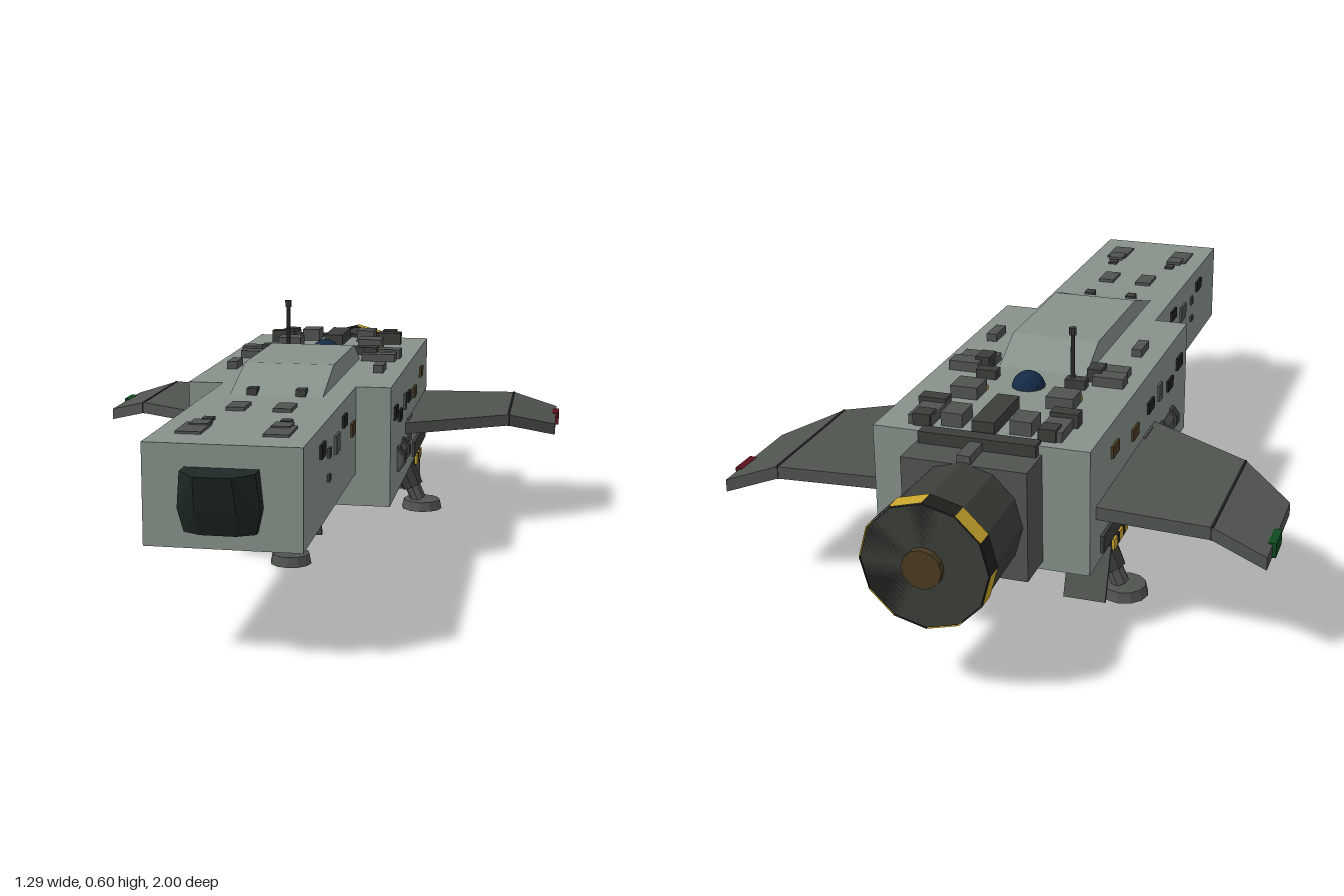
import * as THREE from 'three';
import { ConvexGeometry } from 'three/addons/geometries/ConvexGeometry.js';

const paint = (color) => new THREE.MeshStandardMaterial({ color, flatShading: true });
const HULL = paint(0x87928a), DARK = paint(0x50544f), METAL = paint(0x3c3e39), BLACK = paint(0x1f201c),
  YELLOW = paint(0xc8a52c), GLASS = paint(0x1e2826), BROWN = paint(0x4a3a22), RED = paint(0x5a1018),
  GREEN = paint(0x104a20), BLUE = paint(0x152a48);
const V = (x, y, z) => new THREE.Vector3(x, y, z);

export function createModel() {
  const root = new THREE.Group();
  root.name = 'spacecraft';

  const add = (name, geometry, material, x = 0, y = 0, z = 0, parent = root) => {
    const mesh = new THREE.Mesh(geometry, material);
    mesh.name = name;
    mesh.position.set(x, y, z);
    parent.add(mesh);
    return mesh;
  };
  const box = (name, mat, x, y, z, w, h, d, parent) =>
    add(name, new THREE.BoxGeometry(w, h, d), mat, x, y, z, parent);
  // cylinder lying along z, r1 at the front end
  const tubeZ = (name, mat, x, y, z, r1, r2, len, sides, parent) =>
    add(name, new THREE.CylinderGeometry(r1, r2, len, sides).rotateX(Math.PI / 2), mat, x, y, z, parent);
  // cylinder between two points
  const strut = (name, mat, a, b, ra, rb, sides, parent) => {
    const dir = b.clone().sub(a);
    const mid = a.clone().add(b).multiplyScalar(0.5);
    const mesh = add(name, new THREE.CylinderGeometry(rb, ra, dir.length(), sides), mat, mid.x, mid.y, mid.z, parent);
    mesh.quaternion.setFromUnitVectors(V(0, 1, 0), dir.normalize());
    return mesh;
  };

  // Hulls
  box('noseHull', HULL, 0, 0.348, 0.555, 0.33, 0.215, 0.72);
  box('mainHull', HULL, 0, 0.308, -0.23, 0.5, 0.295, 0.87);

  // Sloped dorsal fairing
  const side = new THREE.Shape([[0.38, 0.45], [0.2, 0.507], [-0.135, 0.507], [-0.25, 0.45]]
    .map(([z, y]) => new THREE.Vector2(-z, y)));
  const fairing = new THREE.ExtrudeGeometry(side, { depth: 0.22, bevelEnabled: false });
  add('dorsalFairing', fairing.translate(0, 0, -0.11).rotateY(Math.PI / 2), HULL);

  // Faceted cockpit canopy
  const canopy = [];
  for (const s of [-1, 1]) {
    for (const [y, w, front, tip] of [[0.408, 0.077, 0.955, 1], [0.33, 0.085, 0.945, 0.975], [0.28, 0.074, 0.935, 0.955]]) {
      canopy.push(V(s * w, y, 0.91), V(s * w, y, front), V(s * w * 0.5, y, tip));
    }
  }
  add('cockpit', new ConvexGeometry(canopy), GLASS);

  // Engine with hazard ring
  const engine = new THREE.Group();
  engine.name = 'engine';
  root.add(engine);
  box('engineCollar', DARK, 0, 0.308, -0.712, 0.285, 0.255, 0.105, engine);
  tubeZ('engineBarrel', METAL, 0, 0.308, -0.82, 0.13, 0.138, 0.33, 12, engine);
  for (let i = 0; i < 12; i++) {
    const band = new THREE.CylinderGeometry(0.142, 0.142, 0.045, 1, 1, true, i * Math.PI / 6, Math.PI / 6);
    const mat = (i % 2 ? YELLOW : BLACK).clone();
    mat.side = THREE.DoubleSide;
    add('hazardBand', band.rotateX(Math.PI / 2), mat, 0, 0.308, -0.963, engine);
  }
  tubeZ('nozzleDisc', BLACK, 0, 0.308, -0.967, 0.139, 0.139, 0.036, 12, engine);
  tubeZ('nozzleCore', BROWN, 0, 0.308, -0.98, 0.044, 0.044, 0.04, 12, engine);

  // Wings: flat inner panel and drooped outer panel
  const stations = [[0.24, 0.292, -0.11, -0.62], [0.511, 0.292, -0.28, -0.64], [0.635, 0.25, -0.385, -0.66]];
  for (const s of [-1, 1]) {
    const section = ([x, y, front, back]) => [0.015, -0.015].flatMap((t) => [V(s * x, y + t, front), V(s * x, y + t, back)]);
    add('innerWing', new ConvexGeometry([...section(stations[0]), ...section(stations[1])]), DARK);
    add('outerWing', new ConvexGeometry([...section(stations[1]), ...section(stations[2])]), DARK);
    box('wingSeam', BLACK, s * 0.511, 0.292, -0.46, 0.006, 0.032, 0.36);
    box('wingTipLight', s > 0 ? RED : GREEN, s * 0.634, 0.252, -0.565, 0.018, 0.034, 0.07);
  }

  // Landing gear
  const gear = (name, x, z, footX, footZ, footR) => {
    const leg = new THREE.Group();
    leg.name = name;
    root.add(leg);
    box('gearWell', BLACK, x, 0.152, z, 0.1, 0.024, 0.115, leg);
    for (const sx of [-1, 1]) {
      for (let i = 0; i < 5; i++) {
        box('hazardBlock', i % 2 ? BLACK : YELLOW, x + sx * 0.05, 0.151, z + (i - 2) * 0.023, 0.012, 0.026, 0.023, leg);
      }
    }
    const top = V(x, 0.15, z), foot = V(footX - (footX - x) * 0.15, 0.025, footZ - (footZ - z) * 0.15);
    const knee = top.clone().lerp(foot, 0.7);
    strut('upperStrut', METAL, top, knee, 0.034, 0.03, 8, leg);
    strut('lowerStrut', DARK, knee, foot, 0.022, 0.022, 8, leg);
    strut('gearPivot', METAL, V(x - 0.045, 0.135, z), V(x + 0.045, 0.135, z), 0.014, 0.014, 8, leg);
    add('footPad', new THREE.CylinderGeometry(footR * 0.9, footR, 0.025, 12), DARK, footX, 0.0125, footZ, leg);
    const door = box('gearDoor', DARK, x, 0.088, z - 0.085, 0.1, 0.13, 0.008, leg);
    door.rotation.x = 0.37;
  };
  gear('frontGear', 0, 0.115, 0, 0.18, 0.052);
  gear('leftRearGear', 0.2, -0.432, 0.265, -0.432, 0.057);
  gear('rightRearGear', -0.2, -0.432, -0.265, -0.432, 0.057);

  // Belly vents
  for (const z of [-0.075, -0.148, -0.22]) {
    for (const x of [-0.045, 0.045]) box('bellyVent', BLACK, x, 0.15, z, 0.075, 0.026, 0.042);
  }

  // Side windows and plates: [z, y, length, height, material]
  const windows = [
    [0.7, 0.405, 0.055, 0.03, BLACK], [0.615, 0.382, 0.022, 0.022, METAL], [0.62, 0.327, 0.022, 0.015, METAL],
    [0.508, 0.38, 0.055, 0.042, DARK], [0.396, 0.41, 0.052, 0.028, BLACK], [0.267, 0.365, 0.052, 0.032, BROWN],
    [0.118, 0.38, 0.052, 0.032, BLACK], [0.022, 0.355, 0.052, 0.028, BLACK], [-0.08, 0.372, 0.032, 0.042, DARK],
    [-0.17, 0.37, 0.052, 0.028, BLACK], [-0.31, 0.358, 0.052, 0.028, BROWN], [-0.48, 0.387, 0.052, 0.028, BROWN],
    [-0.192, 0.275, 0.075, 0.07, DARK],
  ];
  // Roof boxes: [x, z, width, length, top, material]
  const roof = [
    [0.053, 0.523, 0.042, 0.075, 0.464, DARK], [0.085, 0.674, 0.024, 0.028, 0.462, METAL],
    [0.092, 0.775, 0.055, 0.1, 0.461, DARK], [0.088, 0.73, 0.04, 0.05, 0.464, DARK],
    [0.058, 0.347, 0.024, 0.032, 0.472, METAL], [0.19, -0.042, 0.026, 0.072, 0.475, DARK],
    [0.165, -0.22, 0.09, 0.045, 0.475, DARK], [0.18, -0.275, 0.075, 0.045, 0.48, DARK],
    [0.14, -0.25, 0.035, 0.05, 0.488, METAL], [0.11, -0.315, 0.05, 0.03, 0.478, METAL],
    [0.115, -0.43, 0.065, 0.065, 0.485, DARK], [0.115, -0.393, 0.065, 0.01, 0.466, YELLOW],
    [0.15, -0.58, 0.055, 0.11, 0.478, DARK], [0.155, -0.535, 0.065, 0.035, 0.488, METAL],
    [0.08, -0.592, 0.05, 0.065, 0.488, DARK], [0.145, -0.62, 0.04, 0.04, 0.484, METAL],
  ];
  for (const s of [-1, 1]) {
    for (const [z, y, len, h, mat] of windows) {
      box('sidePanel', mat, s * (z > 0.2 && z < 0.9 ? 0.165 : 0.25), y, z, 0.012, h, len);
    }
    for (const [x, z, w, d, top, mat] of roof) {
      box('roofUnit', mat, s * x, (top + 0.44) / 2, z, w, top - 0.44, d);
    }
    // Flank tank with end caps, and lower rail
    tubeZ('sideTank', DARK, s * 0.235, 0.248, -0.005, 0.03, 0.03, 0.14, 10);
    for (const z of [0.048, -0.058]) tubeZ('tankCap', METAL, s * 0.235, 0.248, z, 0.037, 0.037, 0.03, 10);
    box('sideRail', METAL, s * 0.248, 0.198, -0.437, 0.02, 0.042, 0.295);
    // Under-nose guns
    tubeZ('gunBarrel', METAL, s * 0.115, 0.214, 0.57, 0.017, 0.017, 0.26, 6);
    tubeZ('gunTip', YELLOW, s * 0.115, 0.214, 0.702, 0.02, 0.02, 0.015, 6);
    box('gunMount', DARK, s * 0.115, 0.233, 0.56, 0.02, 0.025, 0.16);
  }

  // Centre roof equipment
  box('roofSpine', METAL, 0, 0.465, -0.56, 0.052, 0.04, 0.165);
  box('rearCrossbar', METAL, 0, 0.448, -0.667, 0.27, 0.03, 0.035);
  box('spineConduit', DARK, 0, 0.44, -0.71, 0.03, 0.03, 0.1);
  add('sensorDome', new THREE.SphereGeometry(0.04, 16, 8, 0, Math.PI * 2, 0, Math.PI / 2), BLUE, 0, 0.452, -0.34);
  strut('antenna', METAL, V(-0.1, 0.45, -0.312), V(-0.1, 0.59, -0.312), 0.006, 0.005, 8);
  add('antennaTip', new THREE.CylinderGeometry(0.009, 0.009, 0.018, 8), METAL, -0.1, 0.592, -0.312);

  return root;
}
